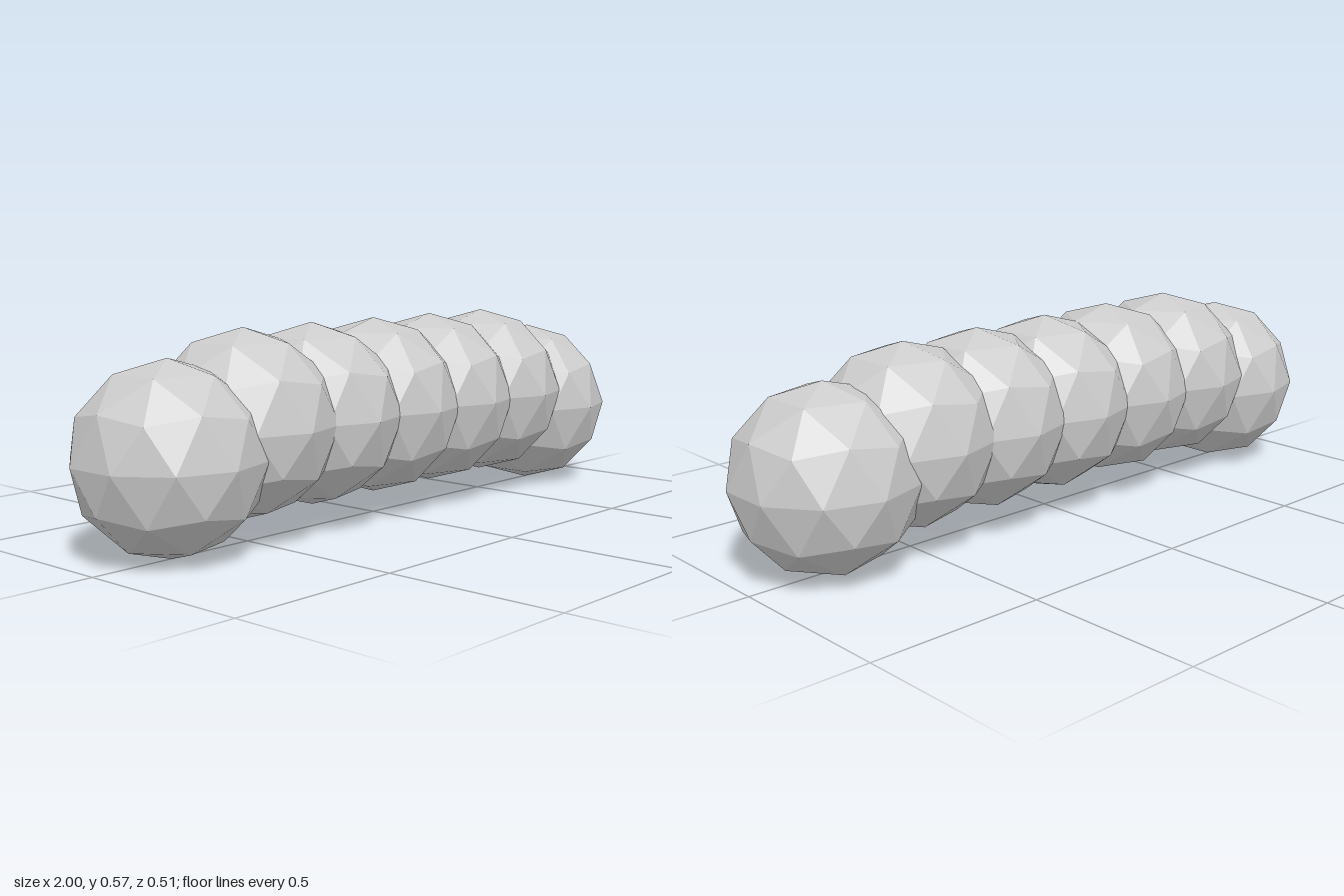
import * as THREE from 'three';

const R = 0.253;     // ball radius, also the spacing between balls
const LIFT = 0.062;  // how far the inner balls sit above the two end balls

export function createModel() {
  const model = new THREE.Group();
  model.name = 'segmentedBody';
  const material = new THREE.MeshStandardMaterial({ color: 0xcccccc, flatShading: true });

  // Low-poly ball turned so that one of its twelve corners points straight up
  const ball = new THREE.IcosahedronGeometry(R, 1);
  ball.rotateX(-Math.atan((1 + Math.sqrt(5)) / 2));
  ball.rotateY(-Math.PI / 2);

  // Seven overlapping balls in a row; the ones on the right side are turned around
  for (let i = -3; i <= 3; i++) {
    const isEnd = Math.abs(i) === 3;
    const segment = new THREE.Mesh(ball, material);
    segment.name = isEnd ? (i < 0 ? 'rightEndBall' : 'leftEndBall') : `bodyBall${i + 3}`;
    segment.position.set(i * R, R + (isEnd ? 0 : LIFT), 0);
    if (i < 0) segment.rotation.y = Math.PI;
    model.add(segment);
  }
  return model;
}
